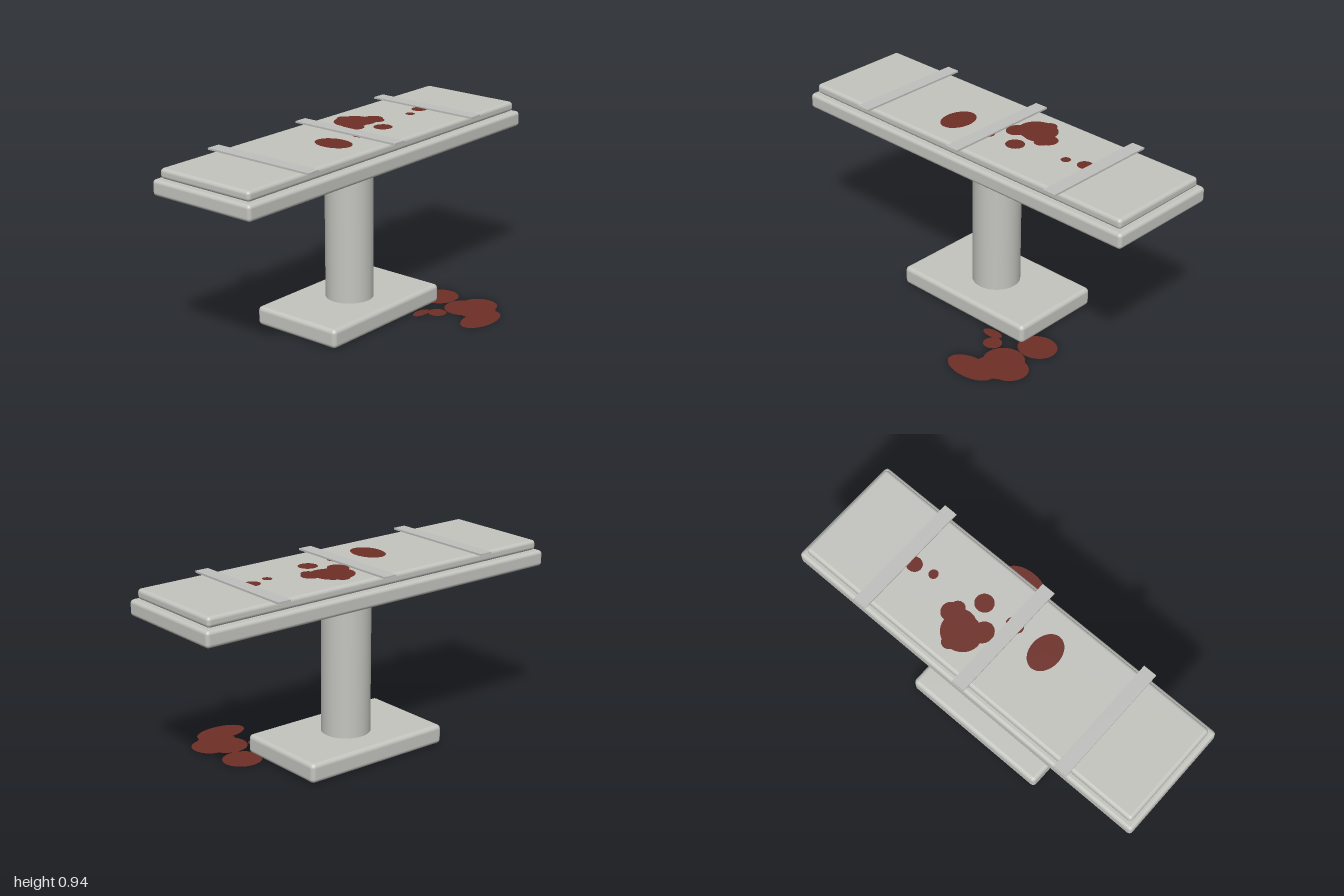
import * as THREE from 'three';
import { RoundedBoxGeometry } from 'three/addons/geometries/RoundedBoxGeometry.js';

export function createModel() {
  const model = new THREE.Group();
  model.name = 'operatingTable';

  const metal = new THREE.MeshStandardMaterial({ color: 0xc4c4bf });
  metal.name = 'pale metal';
  const strapGrey = new THREE.MeshStandardMaterial({ color: 0xbfbfbd });
  strapGrey.name = 'strap grey';
  const stain = new THREE.MeshStandardMaterial({ color: 0x6e2f27, side: THREE.DoubleSide });
  stain.name = 'dark red';

  const Z = -0.157; // centre line of the table

  const add = (name, geometry, material, x, y, z, parent = model) => {
    const mesh = new THREE.Mesh(geometry, material);
    mesh.name = name;
    mesh.position.set(x, y, z);
    parent.add(mesh);
    return mesh;
  };

  // Rounded slab given by its bottom and top heights
  const slab = (name, width, y0, y1, depth, radius) =>
    add(name, new RoundedBoxGeometry(width, y1 - y0, depth, 3, radius), metal, 0, (y0 + y1) / 2, Z);

  slab('base', 0.8, 0.004, 0.1, 0.496, 0.022);
  slab('tableTop', 2, 0.802, 0.88, 0.598, 0.018);
  slab('cushion', 1.95, 0.881, 0.931, 0.546, 0.018);

  // Pedestal
  add('column', new THREE.CylinderGeometry(0.119, 0.119, 0.72, 40), metal, 0, 0.45, Z);

  // Straps across the cushion
  for (const x of [-0.6, 0, 0.6]) {
    add('strap', new THREE.BoxGeometry(0.07, 0.009, 0.62), strapGrey, x, 0.9355, Z);
  }

  // Flat stains: [x, z, radius x, radius z]
  const stains = (name, y, spots) => {
    const group = new THREE.Group();
    group.name = name;
    model.add(group);
    spots.forEach(([x, z, rx, rz], i) => {
      const disc = new THREE.CircleGeometry(1, 32).rotateX(-Math.PI / 2).scale(rx, 1, rz);
      add('stain', disc, stain, x, y + i * 0.0001, z, group);
    });
  };

  stains('cushionStains', 0.9325, [
    [-0.19, -0.088, 0.073, 0.099],
    [0, -0.08, 0.045, 0.036],
    [0.175, -0.09, 0.047, 0.046],
    [0.16, -0.265, 0.1, 0.092],
    [0.172, -0.335, 0.035, 0.036],
    [0.085, -0.2, 0.05, 0.055],
    [0.19, -0.21, 0.06, 0.045],
    [0.262, -0.222, 0.048, 0.048],
    [0.25, -0.185, 0.035, 0.033],
    [0.445, -0.137, 0.023, 0.024],
    [0.545, -0.158, 0.04, 0.038],
  ]);

  stains('floorStains', 0.001, [
    [0.42, 0.235, 0.1, 0.098],
    [0.492, 0.275, 0.09, 0.092],
    [0.43, 0.31, 0.1, 0.085],
    [0.35, 0.387, 0.132, 0.075],
    [0.285, 0.17, 0.046, 0.046],
    [0.23, 0.112, 0.055, 0.028],
    [0.465, 0.05, 0.098, 0.092],
  ]);

  return model;
}
